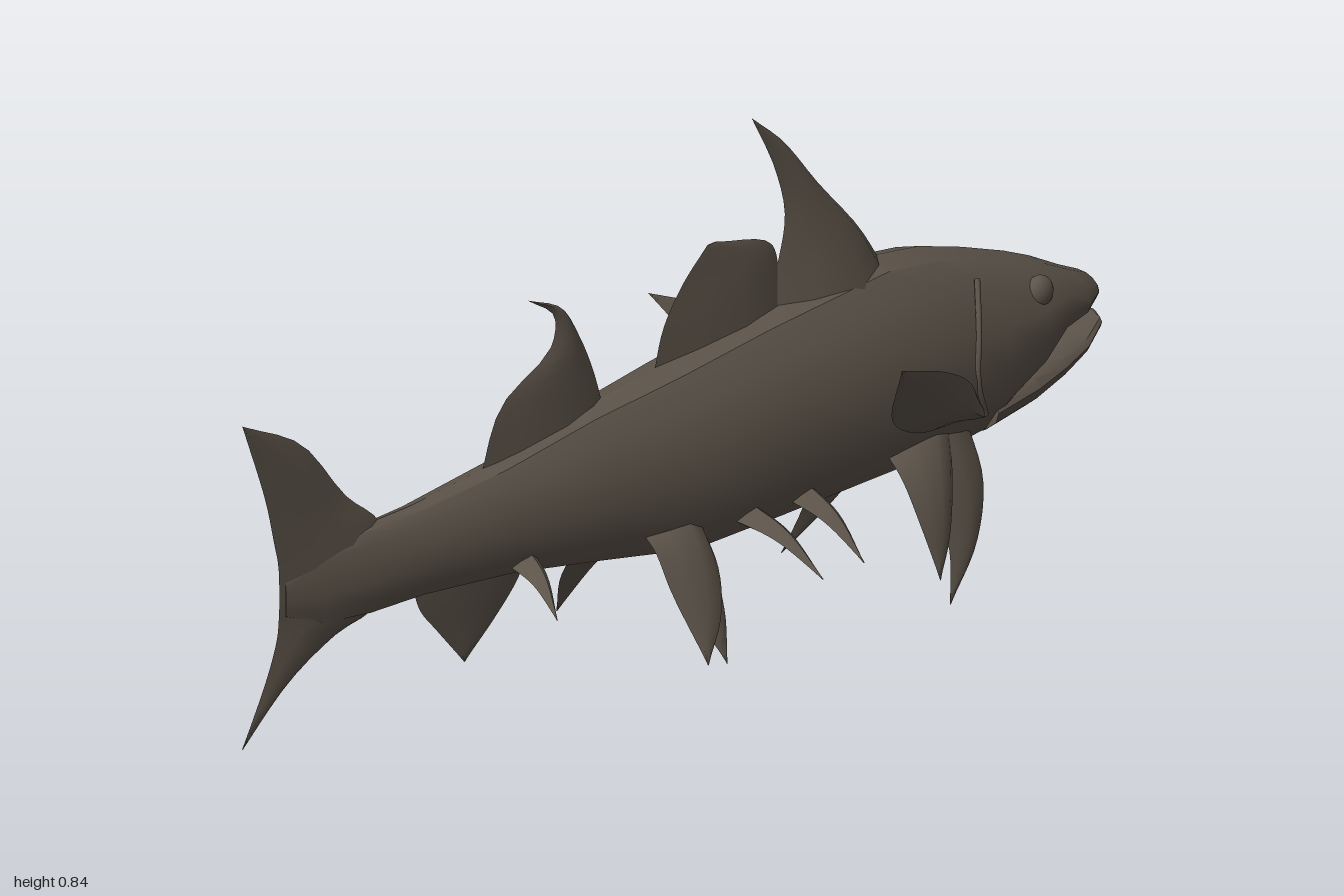
import * as THREE from 'three';
import { toCreasedNormals } from 'three/addons/utils/BufferGeometryUtils.js';

const skin = new THREE.MeshStandardMaterial({ color: 0x5c5349 });
skin.name = 'brownGreySkin';

// Skin a list of closed rings (counter-clockwise about the travel direction) and cap both ends.
function loft(rings, crease) {
  const n = rings[0].length, pos = [], idx = [];
  rings.forEach(r => r.forEach(p => pos.push(p.x, p.y, p.z)));
  for (let i = 0; i < rings.length - 1; i++) {
    for (let j = 0; j < n; j++) {
      const a = i * n + j, b = i * n + (j + 1) % n;
      idx.push(a, b, b + n, a, b + n, a + n);
    }
  }
  const last = (rings.length - 1) * n;
  for (let j = 1; j < n - 1; j++) idx.push(0, j + 1, j, last, last + j, last + j + 1);
  const g = new THREE.BufferGeometry();
  g.setAttribute('position', new THREE.Float32BufferAttribute(pos, 3));
  g.setIndex(idx);
  return toCreasedNormals(g, crease);
}

// Half cross-section from belly keel to back: [width fraction, height fraction]
const HALF = [[0, 0], [0.62, 0.045], [0.9, 0.2], [1, 0.4], [0.93, 0.62], [0.7, 0.83], [0.4, 0.96], [0, 1]];

// Sections are [z, top, bottom, half width]
function trunk(sections, flipped) {
  const half = flipped ? HALF.map(([x, y]) => [x, 1 - y]).reverse() : HALF;
  const ring = [...half, ...half.slice(1, -1).reverse().map(([x, y]) => [-x, y])];
  return loft(sections.map(([z, top, bottom, w]) =>
    ring.map(([x, y]) => new THREE.Vector3(x * w, bottom + y * (top - bottom), z))), 0.6);
}

// Lens-section fin between a leading and a trailing edge, both running root to tip.
const FOIL = [[0, 0], [0.1, 0.55], [0.35, 1], [0.7, 0.6], [1, 0], [0.7, -0.6], [0.35, -1], [0.1, -0.55]];
function fin(lead, trail, thick, power = 1, steps = 14) {
  const curve = pts => new THREE.CatmullRomCurve3(pts.map(p => new THREE.Vector3(...p)));
  const a = curve(lead), b = curve(trail);
  const chord = b.getPoint(0.4).sub(a.getPoint(0.4));
  const span = a.getPoint(1).add(b.getPoint(1)).sub(a.getPoint(0)).sub(b.getPoint(0));
  const normal = chord.cross(span).normalize();
  const rings = [];
  for (let i = 0; i <= steps; i++) {
    const u = i / steps, L = a.getPoint(u), T = b.getPoint(u);
    const t = thick * Math.pow(1 - u, power) + 0.001;
    rings.push(FOIL.map(([c, h]) => L.clone().lerp(T, c).addScaledVector(normal, h * t)));
  }
  return loft(rings, 0.8);
}

export function createModel() {
  const fish = new THREE.Group();
  fish.name = 'fish';
  const add = (name, geometry) => {
    const m = new THREE.Mesh(geometry, skin);
    m.name = name;
    fish.add(m);
    return m;
  };
  const flat = pts => pts.map(([z, y]) => [0, y, z]);
  const midFin = (name, lead, trail, thick, power) => add(name, fin(flat(lead), flat(trail), thick, power));
  const pair = (name, lead, trail, thick, power) => {
    for (const s of [1, -1]) {
      const side = pts => pts.map(([x, y, z]) => [s * x, y, z]);
      add((s > 0 ? 'left' : 'right') + name, fin(side(lead), side(trail), thick, power));
    }
  };

  // Body with the upper jaw, and the lower jaw
  add('body', trunk([
    [-0.99, 0.36, 0.338, 0.02], [-0.975, 0.37, 0.325, 0.045], [-0.93, 0.39, 0.31, 0.068],
    [-0.86, 0.425, 0.3, 0.088], [-0.8, 0.45, 0.25, 0.099], [-0.7, 0.485, 0.195, 0.108],
    [-0.6, 0.515, 0.187, 0.115], [-0.48, 0.533, 0.185, 0.113], [-0.2, 0.515, 0.185, 0.106],
    [0, 0.495, 0.187, 0.1], [0.2, 0.475, 0.225, 0.078], [0.4, 0.445, 0.262, 0.06],
    [0.6, 0.43, 0.283, 0.045], [0.72, 0.43, 0.285, 0.033], [0.82, 0.42, 0.295, 0.017],
    [0.9, 0.39, 0.33, 0.004],
  ]));
  add('lowerJaw', trunk([
    [-1, 0.3, 0.282, 0.018], [-0.985, 0.303, 0.268, 0.042], [-0.93, 0.288, 0.245, 0.064],
    [-0.86, 0.285, 0.222, 0.08], [-0.78, 0.28, 0.203, 0.092], [-0.68, 0.27, 0.19, 0.095],
  ], true));

  // Eyes and gill ridges
  for (const s of [1, -1]) {
    const eye = add(s > 0 ? 'leftEye' : 'rightEye', new THREE.SphereGeometry(0.027, 18, 12));
    eye.position.set(s * 0.073, 0.4, -0.8);
    eye.scale.x = 0.7;
    const gill = [[0.076, 0.465, -0.65], [0.106, 0.395, -0.62], [0.113, 0.32, -0.61], [0.102, 0.25, -0.64]];
    const path = new THREE.CatmullRomCurve3(gill.map(([x, y, z]) => new THREE.Vector3(s * x, y, z)));
    add(s > 0 ? 'leftGillRidge' : 'rightGillRidge', new THREE.TubeGeometry(path, 16, 0.005, 6));
  }

  // Fins along the back
  midFin('frontDorsalFin',
    [[-0.52, 0.5], [-0.46, 0.585], [-0.36, 0.69], [-0.28, 0.78], [-0.205, 0.84]],
    [[-0.23, 0.5], [-0.272, 0.6], [-0.283, 0.66], [-0.26, 0.74], [-0.205, 0.84]], 0.05, 1.5);
  midFin('middleDorsalFin',
    [[-0.29, 0.49], [-0.27, 0.57], [-0.25, 0.62], [-0.12, 0.66]],
    [[0.03, 0.47], [0.005, 0.55], [-0.04, 0.61], [-0.1, 0.66]], 0.016);
  midFin('rearDorsalFin',
    [[0.14, 0.44], [0.17, 0.53], [0.205, 0.6], [0.245, 0.655], [0.325, 0.69]],
    [[0.44, 0.42], [0.39, 0.53], [0.27, 0.597], [0.262, 0.645], [0.325, 0.69]], 0.014);

  // Tail lobes
  midFin('upperTailLobe',
    [[0.64, 0.36], [0.68, 0.43], [0.755, 0.49], [0.86, 0.605], [1, 0.675]],
    [[0.912, 0.355], [0.915, 0.42], [0.925, 0.46], [0.945, 0.535], [1, 0.675]], 0.018);
  midFin('lowerTailLobe',
    [[0.64, 0.36], [0.68, 0.29], [0.78, 0.267], [0.89, 0.22], [1, 0.14]],
    [[0.912, 0.365], [0.914, 0.33], [0.918, 0.3], [0.94, 0.245], [1, 0.14]], 0.018);

  // Fin under the tail stem
  midFin('analFin',
    [[0.32, 0.28], [0.35, 0.235], [0.4, 0.19], [0.475, 0.135]],
    [[0.6, 0.3], [0.58, 0.25], [0.54, 0.205], [0.475, 0.135]], 0.012);

  // Large swept side fins
  pair('PectoralFin',
    [[0.1, 0.27, -0.63], [0.14, 0.335, -0.56], [0.2, 0.405, -0.43], [0.26, 0.47, -0.26]],
    [[0.09, 0.25, -0.6], [0.13, 0.28, -0.45], [0.175, 0.345, -0.335], [0.26, 0.47, -0.26]], 0.02);

  // Two-lobed front belly fins
  pair('FrontBellyFinInner',
    [[0.07, 0.24, -0.63], [0.11, 0.15, -0.625], [0.145, 0.07, -0.57], [0.173, 0, -0.475]],
    [[0.07, 0.24, -0.45], [0.11, 0.18, -0.46], [0.145, 0.09, -0.5], [0.173, 0, -0.475]], 0.018);
  pair('FrontBellyFinOuter',
    [[0.08, 0.24, -0.58], [0.13, 0.18, -0.53], [0.185, 0.12, -0.46], [0.235, 0.083, -0.38]],
    [[0.08, 0.24, -0.43], [0.13, 0.215, -0.41], [0.19, 0.16, -0.385], [0.235, 0.083, -0.38]], 0.018);

  // Two-lobed rear belly fins
  pair('RearBellyFinOuter',
    [[0.07, 0.25, 0], [0.12, 0.195, 0.015], [0.185, 0.15, 0.08], [0.262, 0.115, 0.2]],
    [[0.05, 0.265, 0.12], [0.11, 0.25, 0.15], [0.17, 0.205, 0.18], [0.262, 0.115, 0.2]], 0.02);
  pair('RearBellyFinInner',
    [[0.06, 0.25, 0], [0.1, 0.18, 0], [0.14, 0.12, 0.02], [0.175, 0.055, 0.055]],
    [[0.06, 0.25, 0.09], [0.1, 0.19, 0.09], [0.14, 0.13, 0.085], [0.175, 0.055, 0.055]], 0.015);

  // Short belly spines
  for (const [name, x0, y0, z0, x1, y1, z1] of [
    ['FrontSpine', 0.06, 0.23, -0.235, 0.2, 0.143, -0.24],
    ['MiddleSpine', 0.06, 0.235, -0.1, 0.22, 0.155, -0.12],
    ['RearSpine', 0.03, 0.285, 0.38, 0.165, 0.235, 0.445],
  ]) {
    const xm = (x0 + x1) / 2, ym = (y0 + y1) / 2 + 0.012, zm = (z0 + z1) / 2 - 0.005;
    pair(name,
      [[x0, y0, z0 - 0.03], [xm, ym, zm - 0.018], [x1, y1, z1]],
      [[x0, y0, z0 + 0.03], [xm, ym, zm + 0.018], [x1, y1, z1]], 0.02);
  }
  return fish;
}
